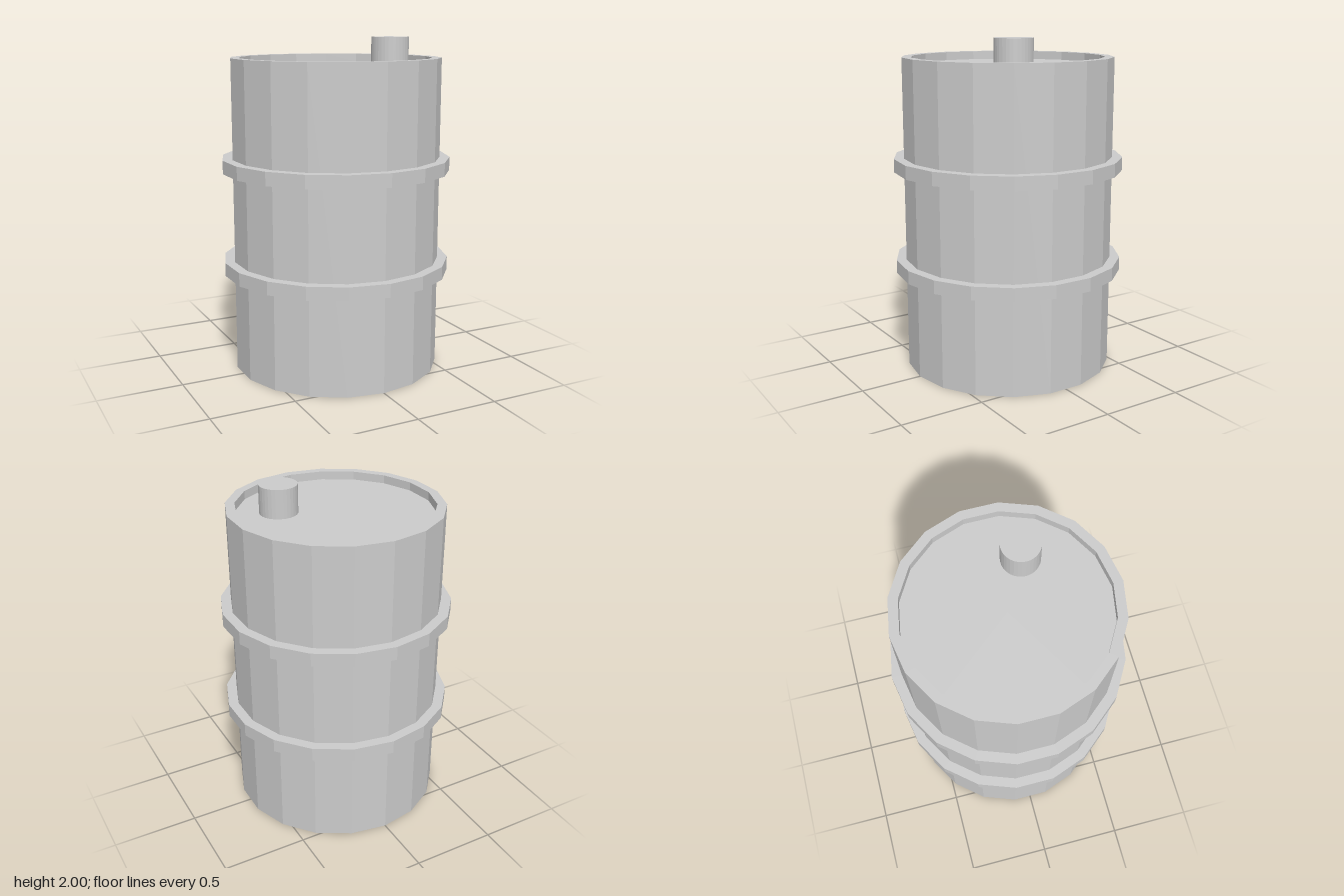
import * as THREE from 'three';

const SIDES = 18;

export function createModel() {
  const group = new THREE.Group();
  const material = new THREE.MeshStandardMaterial({ color: 0xcccccc, flatShading: true });

  // Adds a faceted solid of revolution from [radius, height] pairs, listed upwards
  const addTurned = (name, profile) => {
    const points = profile.map(([r, y]) => new THREE.Vector2(r, y));
    const mesh = new THREE.Mesh(new THREE.LatheGeometry(points, SIDES), material);
    mesh.name = name;
    group.add(mesh);
  };

  // Drum: flat base, straight wall, raised rim and recessed lid
  addTurned('drumBody', [[0, 0], [0.628, 0], [0.628, 1.88], [0.573, 1.88], [0.573, 1.83], [0, 1.83]]);

  // Two hoops around the wall
  [['lowerHoop', 0.63], ['upperHoop', 1.25]].forEach(([name, y]) => {
    addTurned(name, [[0.6, y - 0.04], [0.688, y - 0.04], [0.688, y + 0.04], [0.6, y + 0.04]]);
  });

  // Filler cap standing on the lid
  const cap = new THREE.Mesh(new THREE.CylinderGeometry(0.111, 0.111, 0.17, 32), material);
  cap.name = 'fillerCap';
  cap.position.set(0.287, 1.915, 0.147);
  group.add(cap);

  return group;
}
